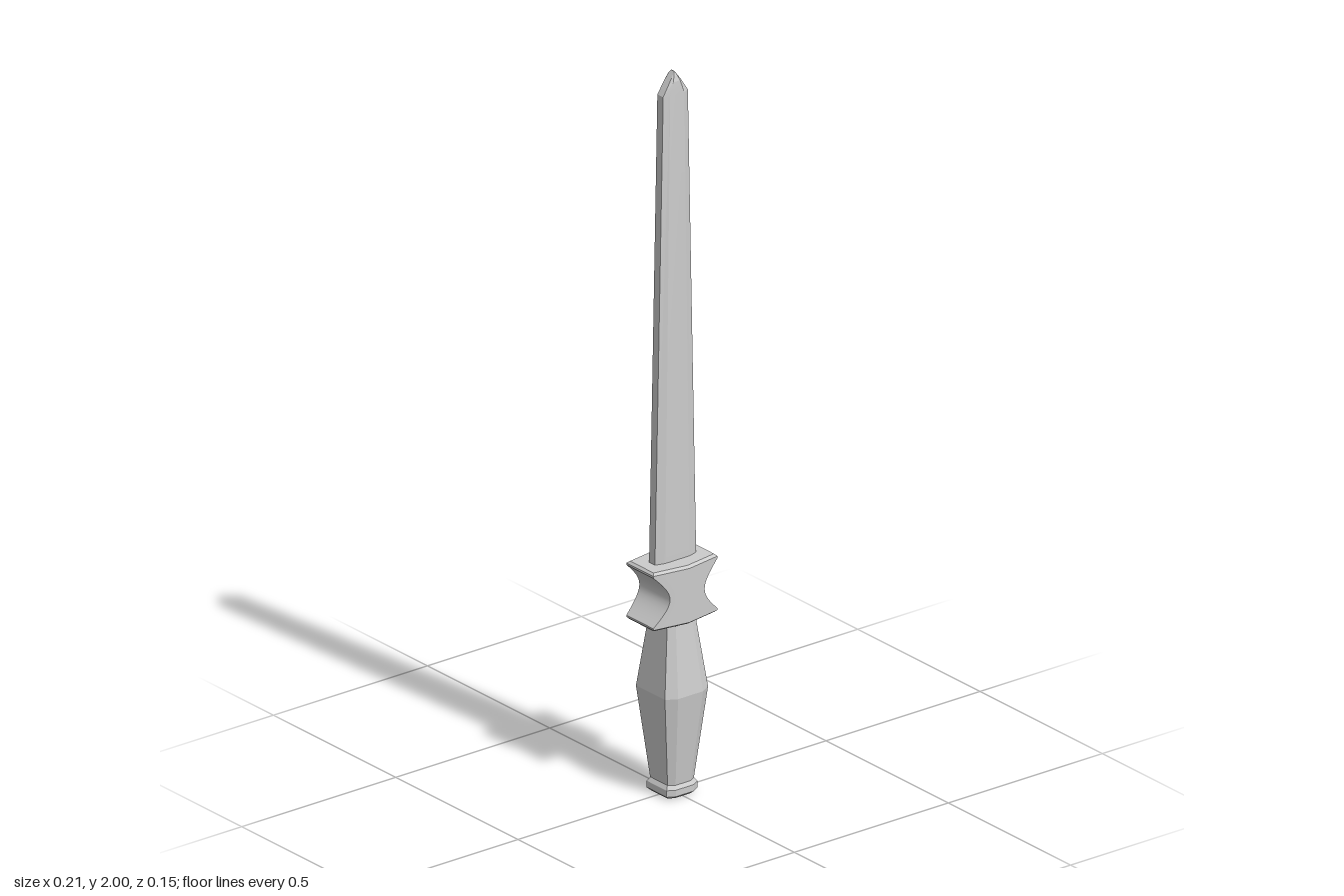
import * as THREE from 'three';
import { toCreasedNormals } from 'three/addons/utils/BufferGeometryUtils.js';

const material = new THREE.MeshStandardMaterial({ color: 0xcccccc });

// Skin a stack of rings [{ y, ring: [[x, z], ...] }], listed bottom to top, with both ends capped.
function loft(name, layers, crease) {
  const n = layers[0].ring.length;
  const pos = [];
  const index = [];
  for (const { y, ring } of layers) for (const [x, z] of ring) pos.push(x, y, z);
  for (let i = 0; i < layers.length - 1; i++) {
    for (let j = 0; j < n; j++) {
      const a = i * n + j, b = i * n + (j + 1) % n;
      index.push(a, a + n, b, b, a + n, b + n);
    }
  }
  const top = (layers.length - 1) * n;
  for (let j = 1; j < n - 1; j++) {
    index.push(0, j, j + 1, top, top + j + 1, top + j);
  }
  const geometry = new THREE.BufferGeometry();
  geometry.setAttribute('position', new THREE.Float32BufferAttribute(pos, 3));
  geometry.setIndex(index);
  const mesh = new THREE.Mesh(toCreasedNormals(geometry, crease), material);
  mesh.name = name;
  return mesh;
}

// Eight-sided section: half sizes x and z, with corners cut at cx and cz.
const octagon = (x, z, cx, cz) => [
  [x, cz], [cx, z], [-cx, z], [-x, cz], [-x, -cz], [-cx, -z], [cx, -z], [x, -cz],
];
const gripLayer = ([y, x, z]) => ({ y, ring: octagon(x, z, x * 0.58, z * 0.78) });

// Six-sided guard section: the front and back planes slope away from a middle ridge.
const hexagon = (x, ridge) => {
  const z = ridge - 0.162 * x;
  return [[x, z], [0, ridge], [-x, z], [-x, -z], [0, -ridge], [x, -z]];
};

export function createModel() {
  const group = new THREE.Group();
  group.name = 'dagger';

  // Pommel with bevelled rims
  group.add(loft('pommel', [
    [0, 0.042, 0.044], [0.008, 0.05, 0.053], [0.026, 0.05, 0.053], [0.038, 0.042, 0.044],
  ].map(gripLayer), 0.3));

  // Faceted grip, widest in the middle
  group.add(loft('grip', [
    [0.03, 0.042, 0.045], [0.29, 0.07, 0.076], [0.5, 0.044, 0.047],
  ].map(gripLayer), 0.05));

  // Guard with a curved waist and bevelled ends
  const guard = [{ y: 0.485, ring: hexagon(0.098, 0.064) }];
  const mid = 0.566, reach = 0.07, steps = 14;
  guard.push({ y: 0.491, ring: hexagon(0.104, 0.072) });
  for (let i = 0; i <= steps; i++) {
    const dy = reach * (2 * i / steps - 1);
    guard.push({ y: mid + dy, ring: hexagon(Math.hypot(0.056, 1.26 * dy), 0.072) });
  }
  guard.push({ y: 0.641, ring: hexagon(0.104, 0.072) });
  guard.push({ y: 0.647, ring: hexagon(0.098, 0.064) });
  group.add(loft('guard', guard, 0.45));

  // Tapered blade with bevelled edges and a rounded point
  const blade = loft('blade', [
    [0.64, 0.067, 0.02, 0.04, 0.012],
    [1.94, 0.04, 0.019, 0.023, 0.012],
    [1.975, 0.018, 0.017, 0.011, 0.011],
    [1.99, 0.0075, 0.012, 0.005, 0.009],
    [2.0, 0.001, 0.006, 0.0006, 0.004],
  ].map(([y, ...size]) => ({ y, ring: octagon(...size) })), 0.2);
  blade.position.x = 0.002;
  group.add(blade);

  return group;
}
